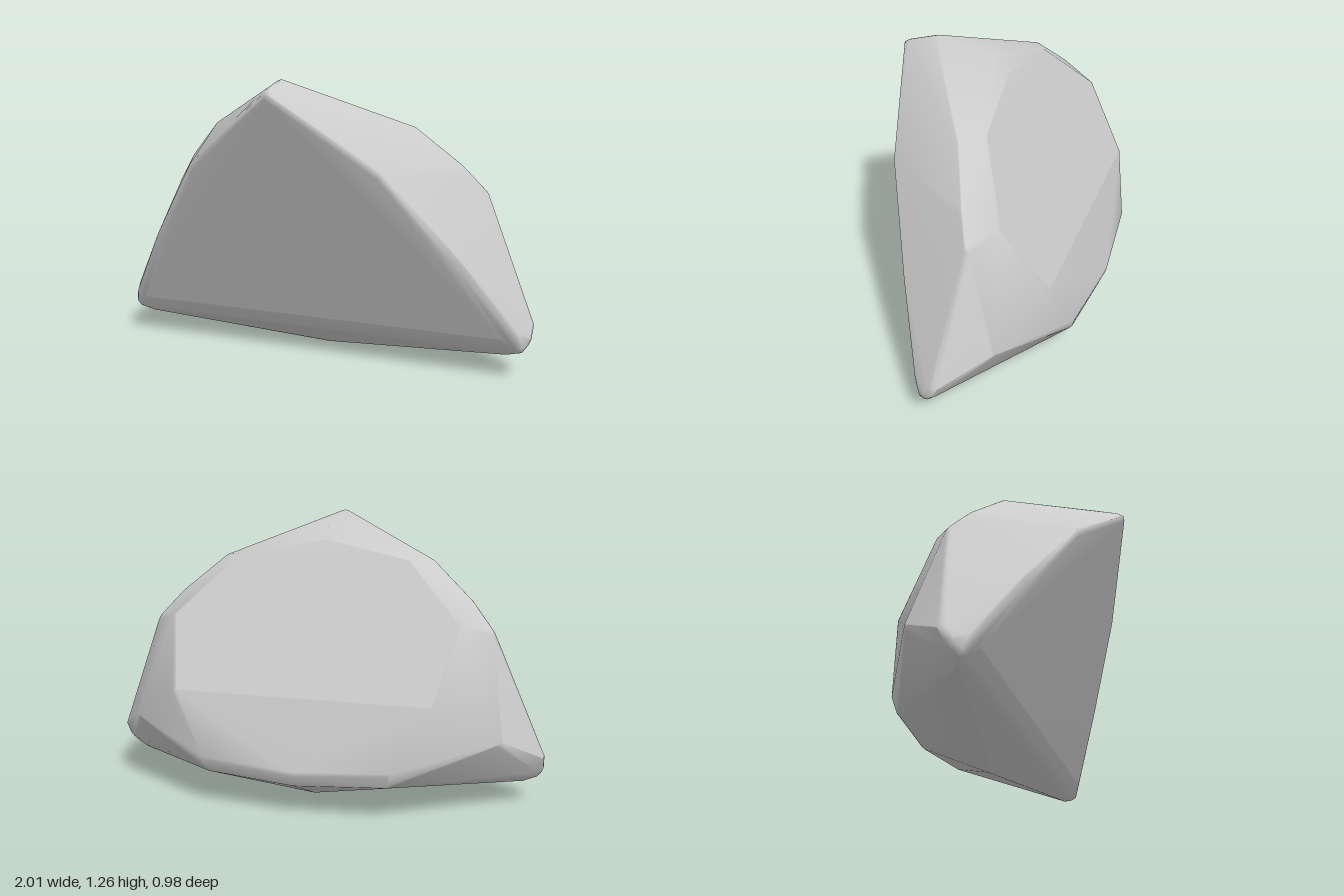
import * as THREE from 'three';
import { ConvexGeometry } from 'three/addons/geometries/ConvexGeometry.js';
import { mergeVertices } from 'three/addons/utils/BufferGeometryUtils.js';

// Convex hull with shared vertices and area-weighted smooth normals
function smoothHull(points) {
  let geo = new ConvexGeometry(points);
  geo.deleteAttribute('normal');
  geo = mergeVertices(geo, 1e-4);
  geo.computeVertexNormals();
  return geo;
}

// Rounds every corner of a hull: inset each corner, then wrap small balls
function roundedHull(points, radius) {
  const rough = smoothHull(points);
  const pos = rough.attributes.position, nor = rough.attributes.normal;
  const ball = mergeVertices(new THREE.IcosahedronGeometry(radius, 0).deleteAttribute('normal').deleteAttribute('uv'));
  const wrapped = [];
  for (let i = 0; i < pos.count; i++) {
    const n = new THREE.Vector3().fromBufferAttribute(nor, i);
    const corner = new THREE.Vector3().fromBufferAttribute(pos, i).addScaledVector(n, -radius);
    wrapped.push(corner.clone().addScaledVector(n, radius));
    for (let j = 0; j < ball.attributes.position.count; j++) {
      wrapped.push(new THREE.Vector3().fromBufferAttribute(ball.attributes.position, j).add(corner));
    }
  }
  return smoothHull(wrapped);
}

export function createModel() {
  const group = new THREE.Group();
  group.name = 'boulder';

  // Corners on the centre plane: [y, z]
  const ridge = [
    [1.18, 0.49], [1.22, 0.465], [1.26, 0.33], [1.195, 0.06], [1.14, 0],
    [0.2, -0.49], [0.13, -0.46], [0, -0.16],
  ];
  // Corners of one half, mirrored to the other: [x, y, z]
  const side = [
    [0.49, 1.055, 0.04], [0.4, 1.06, -0.05], [0.45, 0.89, 0.345], // crown
    [0.68, 0.89, -0.05], [0.78, 0.77, -0.1], [0.66, 0.8, -0.2], // shoulder
    [0.74, 0.53, 0.185], [0.84, 0.33, -0.245], // flank
    [0.57, 0.49, -0.385], [0.42, 0.22, -0.455], [0.4, 0.15, -0.43], // back rim
    [1, 0.22, -0.06], [1, 0.18, 0], [0.97, 0.12, 0], // foot corner
    [0.9, 0.095, 0], [0.95, 0.2, 0.06], [0.89, 0.18, 0.07],
  ];
  const points = ridge.map(([y, z]) => new THREE.Vector3(0, y, z));
  for (const s of [1, -1]) {
    for (const [x, y, z] of side) points.push(new THREE.Vector3(s * x, y, z));
  }

  const stone = new THREE.Mesh(
    roundedHull(points, 0.03),
    new THREE.MeshStandardMaterial({ color: 0xcccccc })
  );
  stone.name = 'stone';
  group.add(stone);
  return group;
}
